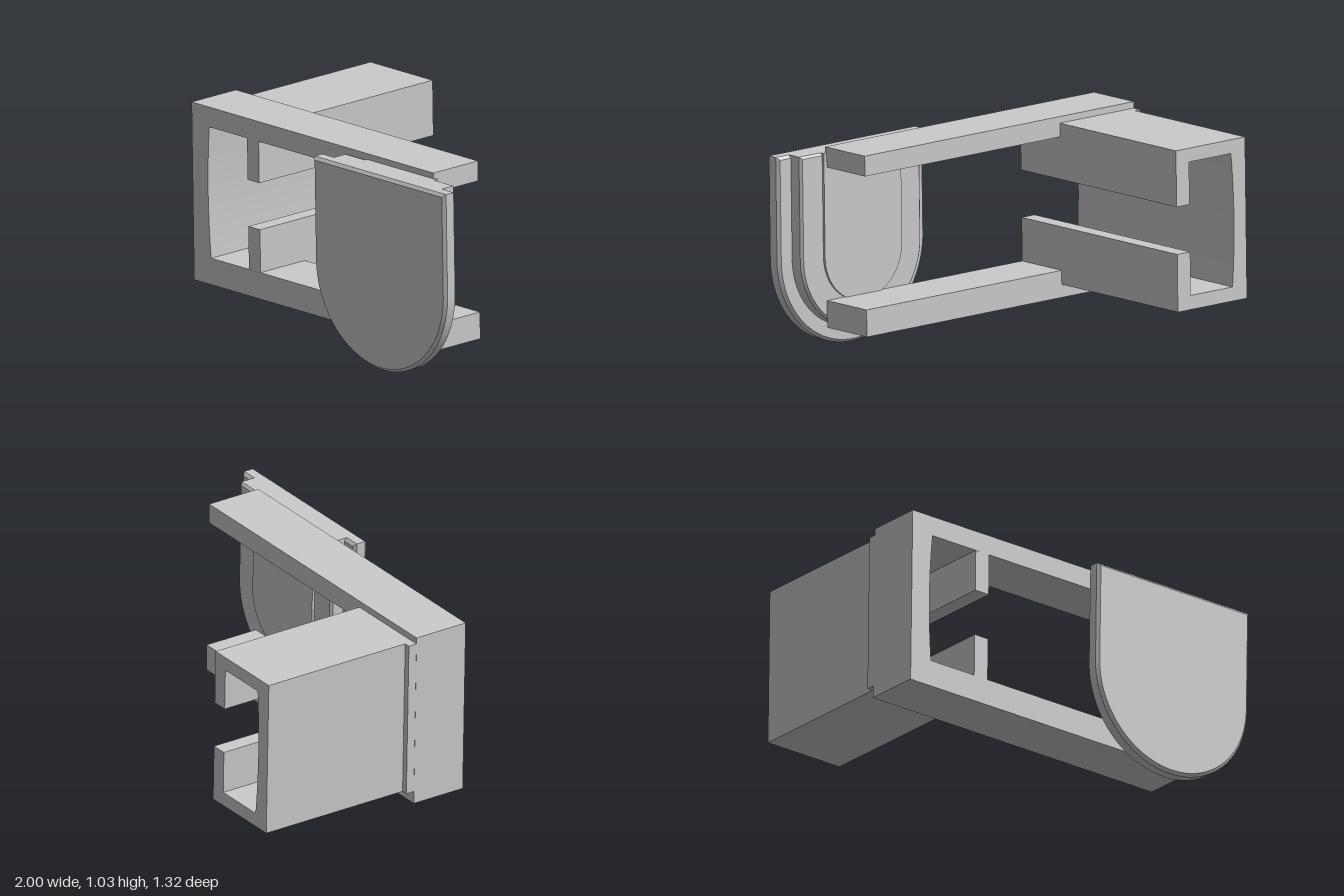
import * as THREE from 'three';
import { toCreasedNormals } from 'three/addons/utils/BufferGeometryUtils.js';

const material = new THREE.MeshStandardMaterial({ color: 0xcccccc });

// Extrudes a shape so that it fills z0..z1, bevels included
function slab(name, shape, z0, z1, bevel = 0) {
  const geometry = new THREE.ExtrudeGeometry(shape, {
    depth: z1 - z0 - 2 * bevel,
    bevelEnabled: bevel > 0,
    bevelThickness: bevel,
    bevelSize: bevel,
    bevelOffset: -bevel,
    bevelSegments: 1,
    curveSegments: 32,
  });
  geometry.translate(0, 0, z0 + bevel);
  const mesh = new THREE.Mesh(toCreasedNormals(geometry, 0.4), material);
  mesh.name = name;
  return mesh;
}

// Flat top, straight sides and a half-round bottom
function shieldShape(radius) {
  const cx = 0.51, cy = 0.487, top = 1.007;
  const s = new THREE.Shape();
  s.moveTo(cx + radius, top);
  s.lineTo(cx - radius, top);
  s.lineTo(cx - radius, cy);
  s.absarc(cx, cy, radius, Math.PI, 2 * Math.PI, false);
  s.closePath();
  return s;
}

// Inner face of the upright wall, slightly bowed outward
const innerLeft = -0.882, innerTop = 0.935, innerBottom = 0.265;
function bowedWall(s) {
  s.lineTo(innerLeft, innerTop);
  s.quadraticCurveTo(-0.912, (innerTop + innerBottom) / 2, innerLeft, innerBottom);
}

// Front frame: upright post with a long arm at top and bottom
function frameShape() {
  const left = -1.008, right = 0.742, top = 1.037, bottom = 0.129;
  const s = new THREE.Shape();
  s.moveTo(right, bottom);
  s.lineTo(right, innerBottom);
  s.lineTo(innerLeft, innerBottom);
  s.quadraticCurveTo(-0.912, (innerTop + innerBottom) / 2, innerLeft, innerTop);
  s.lineTo(right, innerTop);
  s.lineTo(right, top);
  s.lineTo(left, top);
  s.lineTo(left, bottom);
  s.closePath();
  return s;
}

// Slotted channel: box section open along the middle of one side
function channelShape() {
  const left = -0.975, right = -0.526, lipInner = -0.61;
  const top = 1.004, bottom = 0.194, slotTop = 0.722, slotBottom = 0.484;
  const s = new THREE.Shape();
  s.moveTo(left, bottom);
  s.lineTo(left, top);
  s.lineTo(right, top);
  s.lineTo(right, slotTop);
  s.lineTo(lipInner, slotTop);
  s.lineTo(lipInner, innerTop);
  bowedWall(s);
  s.lineTo(lipInner, innerBottom);
  s.lineTo(lipInner, slotBottom);
  s.lineTo(right, slotBottom);
  s.lineTo(right, bottom);
  s.closePath();
  return s;
}

export function createModel() {
  const model = new THREE.Group();
  model.name = 'bracket';

  model.add(slab('frame', frameShape(), 0.19, 0.485));
  model.add(slab('slottedChannel', channelShape(), -0.675, 0.484));

  // Thin pad on the outside of the channel, just behind the post
  const pad = new THREE.Mesh(new THREE.BoxGeometry(0.04, 0.81, 0.2), material);
  pad.name = 'sidePad';
  pad.position.set(-0.987, 0.599, 0.245);
  model.add(pad);

  // Rounded front panel, stepping down in size toward the back
  model.add(slab('frontPanel', shieldShape(0.475), 0.56, 0.64, 0.015));
  model.add(slab('panelBacking', shieldShape(0.39), 0.487, 0.59, 0.012));
  model.add(slab('panelRaisedCentre', shieldShape(0.25), 0.474, 0.53));

  // The whole piece leans very slightly
  model.rotation.set(0.019, 0.018, 0);
  return model;
}
